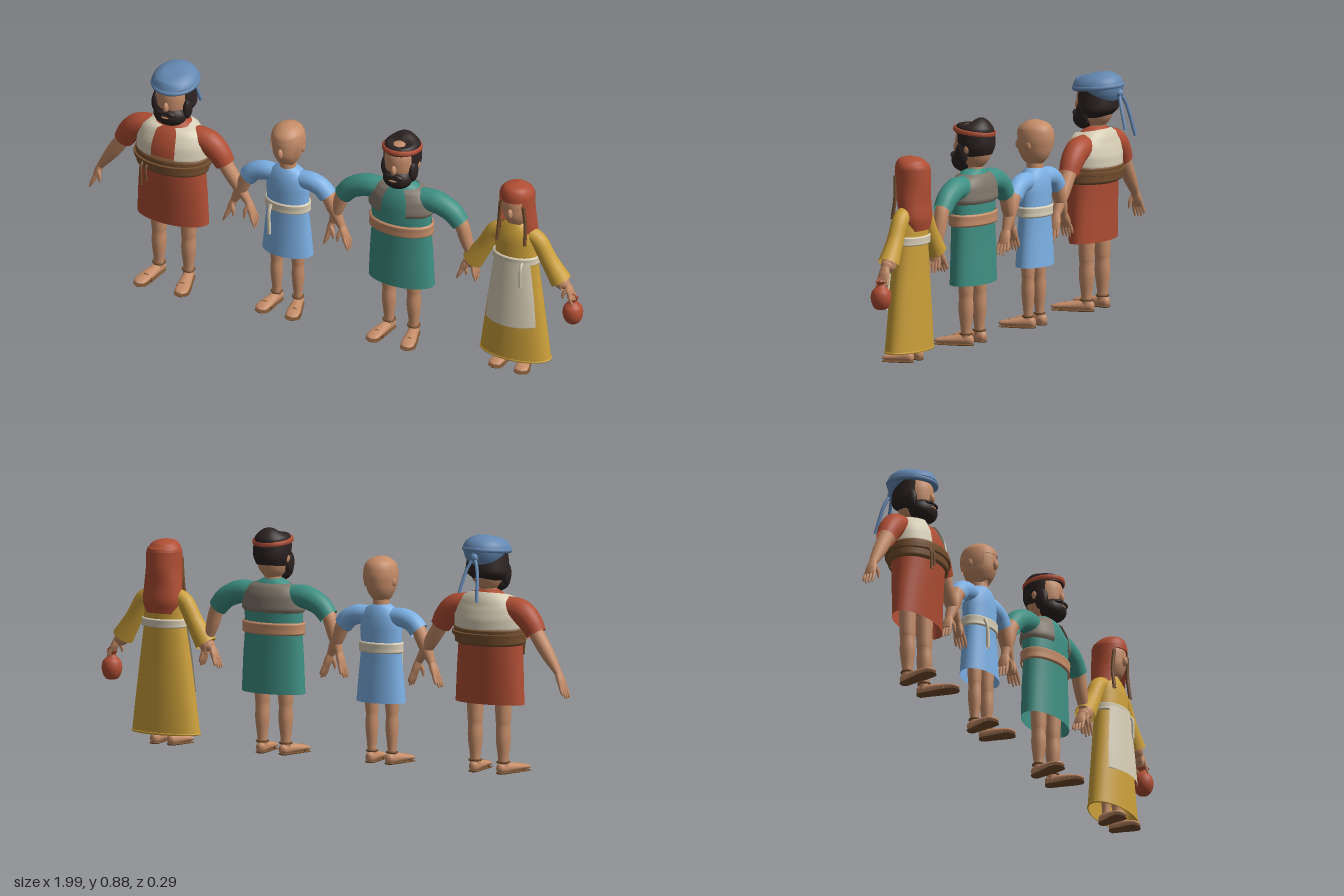
import * as THREE from 'three';

const mat = (name, color) => new THREE.MeshStandardMaterial({ name, color, side: THREE.DoubleSide });
const M = {
  skin: mat('skin', 0xc48c68), red: mat('rust red', 0xb04e34), cream: mat('cream', 0xd8ceb6),
  blue: mat('slate blue', 0x6488b2), sky: mat('sky blue', 0x7cb0e4), teal: mat('teal', 0x3f9084),
  yellow: mat('ochre', 0xcca03a), brown: mat('brown', 0x76502f), dark: mat('dark hair', 0x2c2222),
  grey: mat('grey brown', 0x80766a),
};
const V = (x, y, z) => new THREE.Vector3(x, y, z);
const FRONT = Math.PI / 2;

function add(g, name, geo, material) {
  const m = new THREE.Mesh(geo, material);
  m.name = name;
  g.add(m);
  return m;
}
function ball(g, name, material, p, s) {
  const m = add(g, name, new THREE.SphereGeometry(1, 24, 16), material);
  m.position.set(...p);
  m.scale.set(...s);
  return m;
}

// Sweep elliptical rings [x, y, z, ra, rb] along a path; gap leaves the front open
function sweep(rows, { smooth = 0, gap = 0, caps = true, seg = 32, ref = V(0, 0, 1) } = {}) {
  if (smooth) {
    const c = new THREE.CatmullRomCurve3(rows.map(r => V(r[0], r[1], r[2])), false, 'catmullrom');
    const d = new THREE.CatmullRomCurve3(rows.map(r => V(r[3], r[4], 0)), false, 'catmullrom');
    rows = Array.from({ length: smooth + 1 }, (_, i) => {
      const p = c.getPoint(i / smooth), q = d.getPoint(i / smooth);
      return [p.x, p.y, p.z, q.x, q.y];
    });
  }
  const pos = [], idx = [], n = rows.length, at = i => V(rows[i][0], rows[i][1], rows[i][2]);
  const cols = gap ? seg + 1 : seg;
  const ring = i => {
    const t = at(Math.min(i + 1, n - 1)).sub(at(Math.max(i - 1, 0))).normalize();
    const u = t.clone().cross(ref).normalize(), b = u.clone().cross(t);
    for (let j = 0; j < cols; j++) {
      const a = FRONT + gap + (j / seg) * (Math.PI * 2 - 2 * gap);
      const p = at(i).addScaledVector(u, Math.cos(a) * rows[i][3]).addScaledVector(b, Math.sin(a) * rows[i][4]);
      pos.push(p.x, p.y, p.z);
    }
  };
  for (let i = 0; i < n; i++) ring(i);
  for (let i = 0; i < n - 1; i++) for (let j = 0; j < seg; j++) {
    const k = (j + 1) % cols, a = i * cols + j, b = i * cols + k;
    idx.push(a, a + cols, b, b, a + cols, b + cols);
  }
  if (caps && !gap) for (const e of [0, n - 1]) {
    const s = pos.length / 3;
    ring(e);
    pos.push(...at(e).toArray());
    for (let j = 0; j < seg; j++) {
      const k = (j + 1) % seg;
      idx.push(s + cols, ...(e ? [s + k, s + j] : [s + j, s + k]));
    }
  }
  const g = new THREE.BufferGeometry();
  g.setAttribute('position', new THREE.Float32BufferAttribute(pos, 3));
  g.setIndex(idx);
  g.computeVertexNormals();
  return g;
}
// Upright loft from [y, rx, rz, cz]
const loft = (prof, o = {}) => sweep(prof.map(([y, rx, rz, cz = 0]) => [0, y, cz, rx, rz]), o);

// Layer of cloth hugging a body profile; front: only the front half-angle is kept
function band(prof, y0, y1, off, gap = 0) {
  const rows = [];
  for (let i = 0; i <= 12; i++) {
    const y = y0 + (y1 - y0) * i / 12;
    let k = 0;
    while (k < prof.length - 2 && prof[k + 1][0] < y) k++;
    const A = prof[k], B = prof[k + 1], t = (y - A[0]) / (B[0] - A[0]);
    const L = j => THREE.MathUtils.lerp(A[j] || 0, B[j] || 0, t);
    const o = i % 12 ? off : off * 0.3;
    rows.push([y, L(1) + o, L(2) + o, L(3)]);
  }
  return loft(rows, { gap, caps: false, seg: 48 });
}
function cord(g, name, material, pts, r) {
  add(g, name, new THREE.TubeGeometry(new THREE.CatmullRomCurve3(pts.map(p => V(...p))), 20, r, 8), material);
}

// Arm with sleeve, forearm and hand. sleeve: [x, y, r] points
function arm(g, s, cloth, sleeve, wrist, tip) {
  const side = s > 0 ? 'left' : 'right';
  add(g, side + 'Sleeve', sweep(sleeve.map(([x, y, r]) => [s * x, y, 0, r, r * 0.95]), { smooth: 14, caps: false, seg: 24 }), cloth);
  const [ex, ey, er] = sleeve[sleeve.length - 1], [px, py] = sleeve[sleeve.length - 2];
  const r = Math.min(er * 0.75, 0.028);
  add(g, side + 'Forearm', sweep([[s * px, py, 0, r, r], [s * ex, ey, 0, r, r],
    [s * (ex + wrist[0]) / 2, (ey + wrist[1]) / 2, 0, r * 0.9, r * 0.9],
    [s * wrist[0], wrist[1], 0, 0.013, 0.016]], { smooth: 12, seg: 16 }), M.skin);
  const P = t => [s * (wrist[0] + (tip[0] - wrist[0]) * t), wrist[1] + (tip[1] - wrist[1]) * t];
  add(g, side + 'Palm', sweep([[...P(-0.1), 0, 0.012, 0.015], [...P(0.25), 0, 0.013, 0.022], [...P(0.55), 0, 0.009, 0.022]],
    { smooth: 6, seg: 16 }), M.skin);
  for (let i = 0; i < 4; i++) {
    const z = 0.017 - i * 0.0115, e = i === 3 ? 0.85 : 1;
    add(g, side + 'Finger', sweep([[...P(0.45), z, 0.0065, 0.0065], [...P(0.75), z * 1.15, 0.006, 0.006],
      [...P(e), z * 1.15, 0.003, 0.003]], { smooth: 5, seg: 8 }), M.skin);
  }
  const a = P(0.1), b = P(0.65);
  add(g, side + 'Thumb', sweep([[...a, 0.012, 0.008, 0.008], [b[0] - s * 0.028, (a[1] + b[1]) / 2, 0.02, 0.0075, 0.0075],
    [b[0] - s * 0.03, b[1], 0.022, 0.003, 0.003]], { smooth: 6, seg: 8 }), M.skin);
}

// Leg with foot, sole and sandal straps
function leg(g, s, x, top, r, len, sandal) {
  const side = s > 0 ? 'left' : 'right', X = s * x;
  add(g, side + 'Leg', loft([[0.02, r * 0.75, r * 0.8], [0.06, r * 0.72, r * 0.75], [0.13, r, r * 1.08],
    [0.18, r * 0.95, r], [0.21, r * 1.08, r * 1.08], [top, r * 1.2, r * 1.2]], { smooth: 16, seg: 20 }).translate(X, 0, 0.005), M.skin);
  const f = (y, k, h) => sweep([[0, y, -0.025, 0.004, h * 0.4], [0, y, -0.015, 0.017 * k, h], [0, y, 0.02, 0.02 * k, h * 1.05],
    [0, y * 0.9, len * 0.65, 0.026 * k, h * 0.7], [0, y * 0.75, len * 0.9, 0.023 * k, h * 0.45], [0, y * 0.7, len, 0.006, h * 0.25]],
    { smooth: 16, seg: 20, ref: V(0, 1, 0) }).rotateY(s * 0.2).translate(X, 0, 0);
  add(g, side + 'Foot', f(0.022, 1, 0.019), M.skin);
  add(g, side + 'Sole', f(0.005, 1.12, 0.005), M.brown);
  if (!sandal) return;
  const ankle = add(g, side + 'AnkleStrap', new THREE.TorusGeometry(r * 0.78, 0.0045, 8, 24), M.brown);
  ankle.rotation.x = FRONT;
  ankle.position.set(X, 0.045, 0.005);
  const toe = add(g, side + 'ToeStrap', new THREE.TorusGeometry(0.024, 0.0045, 8, 24, Math.PI), M.brown);
  toe.position.set(X + s * 0.015, 0.006, len * 0.62);
}

// Head with nose, ears and neck
function head(g, cy, rx, ry, rz) {
  add(g, 'head', loft([[cy - ry, 0.012, 0.015, 0.022], [cy - ry * 0.9, rx * 0.5, rz * 0.5, 0.015],
    [cy - ry * 0.5, rx * 0.86, rz * 0.88, 0.006], [cy, rx, rz], [cy + ry * 0.5, rx * 0.95, rz * 0.95],
    [cy + ry * 0.85, rx * 0.6, rz * 0.6], [cy + ry, 0.004, 0.004]], { smooth: 24 }), M.skin);
  add(g, 'neck', new THREE.CylinderGeometry(rx * 0.5, rx * 0.6, 0.09, 20), M.skin).position.y = cy - ry - 0.01;
  ball(g, 'nose', M.skin, [0, cy - ry * 0.12, rz], [0.01, 0.02, 0.014]);
  for (const s of [-1, 1]) ball(g, 'ear', M.skin, [s * rx, cy - 0.005, -0.005], [0.009, 0.018, 0.012]);
}
function beard(g, cy, w) {
  ball(g, 'beard', M.dark, [0, cy - 0.055, 0.036], [w * 0.9, 0.044, 0.048]);
  for (const s of [-1, 1]) {
    ball(g, 'sideburn', M.dark, [s * w * 0.88, cy - 0.025, 0.02], [0.016, 0.042, 0.026]);
    ball(g, 'moustache', M.dark, [s * 0.017, cy - 0.034, 0.071], [0.022, 0.009, 0.013]).rotation.z = -s * 0.25;
  }
  ball(g, 'mouth', M.skin, [0, cy - 0.05, 0.078], [0.018, 0.005, 0.008]);
}

function person(name, x, o) {
  const g = new THREE.Group();
  g.name = name;
  g.position.x = x;
  add(g, 'tunic', loft(o.body, { caps: false, seg: 48 }), o.cloth);
  head(g, ...o.head);
  for (const s of [-1, 1]) {
    arm(g, s, o.cloth, o.sleeve, o.wrist, o.tip);
    leg(g, s, o.legX, o.body[0][0] + 0.08, o.legR, o.foot, o.sandal);
  }
  return g;
}

export function createModel() {
  const root = new THREE.Group();
  root.name = 'family';

  // Large man with turban
  let body = [[0.26, 0.142, 0.066, 0.01], [0.38, 0.136, 0.074, 0.012], [0.48, 0.128, 0.084, 0.014], [0.54, 0.132, 0.09, 0.012],
    [0.59, 0.132, 0.085, 0.008], [0.63, 0.118, 0.07, 0.002], [0.655, 0.09, 0.055, -0.003], [0.675, 0.05, 0.04], [0.685, 0.03, 0.03]];
  const elder = person('turbanMan', -0.655, { body, cloth: M.red, head: [0.765, 0.064, 0.088, 0.072],
    sleeve: [[0.08, 0.615, 0.045], [0.14, 0.605, 0.047], [0.18, 0.57, 0.044], [0.205, 0.53, 0.038]],
    wrist: [0.3, 0.39], tip: [0.335, 0.3], legX: 0.06, legR: 0.027, foot: 0.14, sandal: true });
  add(elder, 'vest', band(body, 0.53, 0.668, 0.009, 0.34), M.cream);
  add(elder, 'wideBelt', band(body, 0.48, 0.55, 0.012), M.brown);
  add(elder, 'ropeBelt', band(body, 0.512, 0.528, 0.02), M.brown);
  for (const d of [0, 0.02]) cord(elder, 'ropeEnd', M.brown, [[-0.08 + d, 0.52, 0.1], [-0.08 + d, 0.505, 0.116], [-0.078 + d, 0.43 + d, 0.118]], 0.005);
  add(elder, 'hair', loft([[0.715, 0.05, 0.05, -0.012], [0.74, 0.08, 0.075, -0.008], [0.78, 0.078, 0.078, -0.006], [0.835, 0.07, 0.075, -0.005]],
    { gap: 0.95, smooth: 12 }), M.dark);
  beard(elder, 0.765, 0.072);
  add(elder, 'turban', loft([[0.815, 0.07, 0.078, -0.005], [0.825, 0.083, 0.092, -0.01], [0.84, 0.085, 0.094, -0.01], [0.86, 0.072, 0.08, -0.008],
    [0.875, 0.045, 0.05, -0.006], [0.88, 0.004, 0.004, -0.005]], { smooth: 20 }), M.blue);
  const roll = add(elder, 'turbanRoll', new THREE.TorusGeometry(0.08, 0.01, 10, 40), M.blue);
  roll.rotation.x = FRONT + 0.1;
  roll.scale.y = 1.1;
  roll.position.set(0, 0.828, -0.01);
  ball(elder, 'turbanKnot', M.blue, [0, 0.808, -0.1], [0.016, 0.016, 0.014]);
  for (const s of [-1, 1]) cord(elder, 'turbanTail', M.blue, [[0, 0.81, -0.1], [s * 0.02, 0.77, -0.115], [s * 0.038, 0.665 + s * 0.015, -0.145]], 0.0065);
  root.add(elder);

  // Boy in sky blue
  body = [[0.23, 0.1, 0.06], [0.33, 0.09, 0.056], [0.43, 0.08, 0.05], [0.5, 0.084, 0.054], [0.545, 0.08, 0.05], [0.575, 0.06, 0.042], [0.592, 0.03, 0.03]];
  const boy = person('boy', -0.195, { body, cloth: M.sky, head: [0.682, 0.057, 0.082, 0.066],
    sleeve: [[0.05, 0.545, 0.034], [0.095, 0.545, 0.036], [0.135, 0.53, 0.036], [0.162, 0.502, 0.036]],
    wrist: [0.218, 0.385], tip: [0.253, 0.3], legX: 0.043, legR: 0.023, foot: 0.115, sandal: true });
  add(boy, 'belt', band(body, 0.413, 0.453, 0.008), M.cream);
  cord(boy, 'beltEnd', M.cream, [[-0.045, 0.44, 0.05], [-0.047, 0.41, 0.062], [-0.045, 0.32, 0.064]], 0.007);
  add(boy, 'hair', loft([[0.655, 0.057, 0.062, -0.006], [0.69, 0.063, 0.071, -0.003], [0.72, 0.061, 0.07, -0.002], [0.735, 0.057, 0.065, -0.001]],
    { gap: 0.8, smooth: 8 }), M.skin);
  add(boy, 'hairTop', loft([[0.715, 0.061, 0.07, -0.002], [0.74, 0.055, 0.062, -0.001], [0.76, 0.033, 0.036], [0.768, 0.003, 0.003]], { smooth: 12 }), M.skin);
  root.add(boy);

  // Bearded man in teal
  body = [[0.23, 0.13, 0.068, 0.002], [0.36, 0.124, 0.066, 0.002], [0.47, 0.116, 0.064, 0.003], [0.55, 0.12, 0.069, 0.003],
    [0.595, 0.112, 0.062], [0.625, 0.085, 0.05], [0.645, 0.05, 0.038], [0.655, 0.03, 0.03]];
  const man = person('tealMan', 0.267, { body, cloth: M.teal, head: [0.735, 0.062, 0.085, 0.07],
    sleeve: [[0.08, 0.59, 0.042], [0.14, 0.59, 0.043], [0.2, 0.565, 0.04], [0.238, 0.525, 0.036]],
    wrist: [0.282, 0.395], tip: [0.307, 0.305], legX: 0.05, legR: 0.026, foot: 0.125, sandal: true });
  add(man, 'vest', band(body, 0.53, 0.635, 0.009, 0.4), M.grey);
  add(man, 'sash', band(body, 0.447, 0.493, 0.01), M.skin);
  add(man, 'hair', loft([[0.7, 0.055, 0.058, -0.012], [0.73, 0.068, 0.072, -0.009], [0.77, 0.069, 0.074, -0.006], [0.79, 0.067, 0.074, -0.005]],
    { gap: 0.95, smooth: 10 }), M.dark);
  add(man, 'hairTop', loft([[0.782, 0.066, 0.074, -0.003], [0.805, 0.064, 0.07, -0.004], [0.82, 0.045, 0.05, -0.004], [0.827, 0.003, 0.003]], { smooth: 12 }), M.dark);
  const hb = add(man, 'headband', loft([[-0.009, 0.067, 0.075], [-0.006, 0.073, 0.08], [0.006, 0.073, 0.08], [0.009, 0.067, 0.075]]), M.red);
  hb.position.set(0, 0.79, -0.003);
  hb.rotation.x = -0.12;
  beard(man, 0.735, 0.063);
  root.add(man);

  // Woman with scarf, apron and pot
  body = [[0.043, 0.14, 0.068, 0.012], [0.13, 0.129, 0.065, 0.01], [0.3, 0.106, 0.06, 0.008], [0.45, 0.083, 0.052, 0.003],
    [0.52, 0.084, 0.055, 0.002], [0.56, 0.074, 0.048], [0.585, 0.05, 0.038], [0.6, 0.03, 0.03]];
  const woman = person('woman', 0.733, { body, cloth: M.yellow, head: [0.665, 0.054, 0.08, 0.06],
    sleeve: [[0.05, 0.555, 0.03], [0.09, 0.53, 0.032], [0.13, 0.46, 0.033], [0.178, 0.385, 0.041]],
    wrist: [0.205, 0.37], tip: [0.235, 0.3], legX: 0.038, legR: 0.02, foot: 0.095, sandal: false });
  const hem = add(woman, 'hem', new THREE.TorusGeometry(1, 0.03, 8, 48), M.yellow);
  hem.rotation.x = FRONT;
  hem.scale.set(0.139, 0.068, 0.13);
  hem.position.set(0, 0.046, 0.012);
  add(woman, 'apron', band(body, 0.19, 0.455, 0.008, Math.PI - 0.95).rotateY(Math.PI).scale(-1, 1, 1).scale(1, 1, 1).scale(-1, 1, -1).scale(-1, 1, 1).scale(1, 1, 1), M.cream);
  woman.remove(woman.getObjectByName('apron'));
  const apron = [[0.19, 0.1175], [0.195, 0.125], [0.3, 0.114], [0.39, 0.1], [0.455, 0.09]].map(([y, rx]) =>
    [0, y, 0.008, rx, 0.052 + (0.455 - y) * 0.075 + 0.007]);
  // Front arc of the skirt: opening turned to the back by using a rear reference
  add(woman, 'apron', sweep(apron, { gap: Math.PI - 0.95, caps: false, ref: V(0, 0, -1) }), M.cream);
  add(woman, 'waistband', band(body, 0.438, 0.47, 0.009), M.cream);
  cord(woman, 'waistTie', M.cream, [[0.045, 0.455, 0.05], [0.046, 0.44, 0.066], [0.046, 0.36, 0.07]], 0.006);
  add(woman, 'scarfTop', loft([[0.708, 0.066, 0.066, -0.002], [0.73, 0.06, 0.061], [0.75, 0.04, 0.043, -0.002], [0.76, 0.003, 0.003, -0.003]], { smooth: 14 }), M.red);
  add(woman, 'scarfDrape', loft([[0.485, 0.058, 0.04, -0.022], [0.53, 0.077, 0.055, -0.015], [0.59, 0.074, 0.058, -0.009], [0.65, 0.067, 0.066, -0.004],
    [0.715, 0.066, 0.066, -0.002]], { gap: 0.72, smooth: 20 }), M.red);
  for (const s of [-1, 1]) cord(woman, 'hairStrand', M.brown, [[s * 0.046, 0.69, 0.045], [s * 0.053, 0.61, 0.042], [s * 0.056, 0.53, 0.052]], 0.007);
  const pot = new THREE.Group();
  pot.name = 'pot';
  pot.position.set(0.228, 0.225, 0.004);
  const prof = [[0, 0], [0.02, 0], [0.033, 0.018], [0.038, 0.042], [0.033, 0.066], [0.018, 0.082], [0.014, 0.092], [0.021, 0.102], [0.016, 0.1]];
  add(pot, 'jar', new THREE.LatheGeometry(new THREE.SplineCurve(prof.map(p => new THREE.Vector2(...p))).getPoints(32), 28), M.red);
  add(pot, 'handle', new THREE.TorusGeometry(0.017, 0.003, 8, 24, Math.PI), M.red).position.y = 0.1;
  woman.add(pot);
  root.add(woman);

  return root;
}
